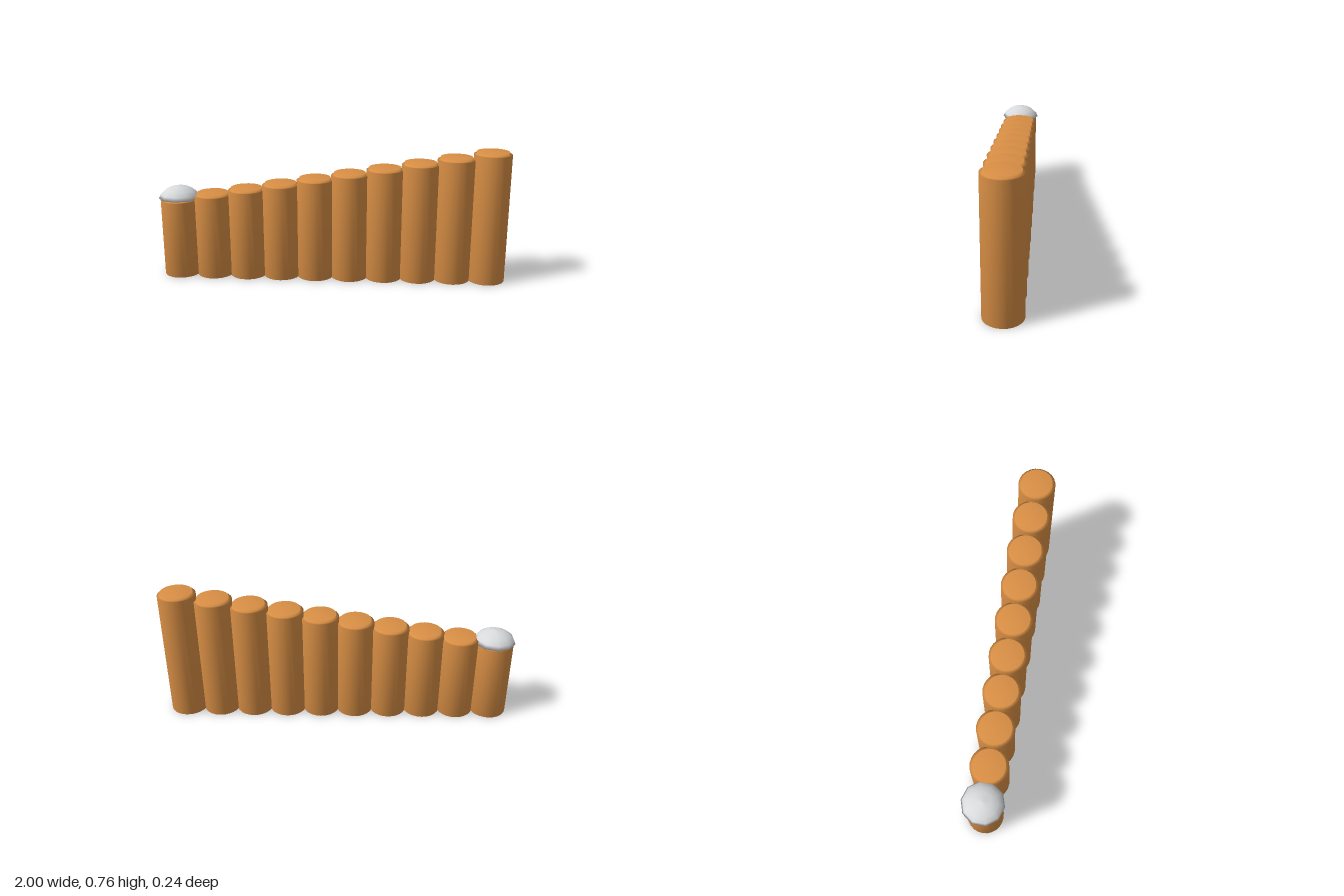
import * as THREE from 'three';

export function createModel() {
  const wood = new THREE.MeshStandardMaterial({ color: 0xd98f45 });
  wood.name = 'orange wood';
  const white = new THREE.MeshStandardMaterial({ color: 0xd9dadc });
  white.name = 'pale cap';

  const group = new THREE.Group();
  group.name = 'logWall';
  const lathe = (name, pts, sides, mat) => {
    const geo = new THREE.LatheGeometry(pts.map(([r, y]) => new THREE.Vector2(r, y)), sides);
    const mesh = new THREE.Mesh(geo, mat);
    mesh.name = name;
    group.add(mesh);
    return mesh;
  };

  // Row of upright logs, each a little taller, with a small stepped top
  const count = 10;
  for (let i = 0; i < count; i++) {
    const h = 0.463 + i * 0.0325;
    const log = lathe('log' + (i + 1), [
      [0, 0], [0.106, 0], [0.106, h - 0.015], [0.09, h - 0.015], [0.09, h], [0, h],
    ], 24, wood);
    log.position.x = -0.891 + i * 0.1985;
  }

  // Low dome resting on the shortest log
  const dome = lathe('domeCap', [
    [0, 0.46], [0.118, 0.46], [0.108, 0.483], [0.085, 0.505], [0.05, 0.523], [0, 0.531],
  ], 10, white);
  dome.position.x = -0.888;

  return group;
}
